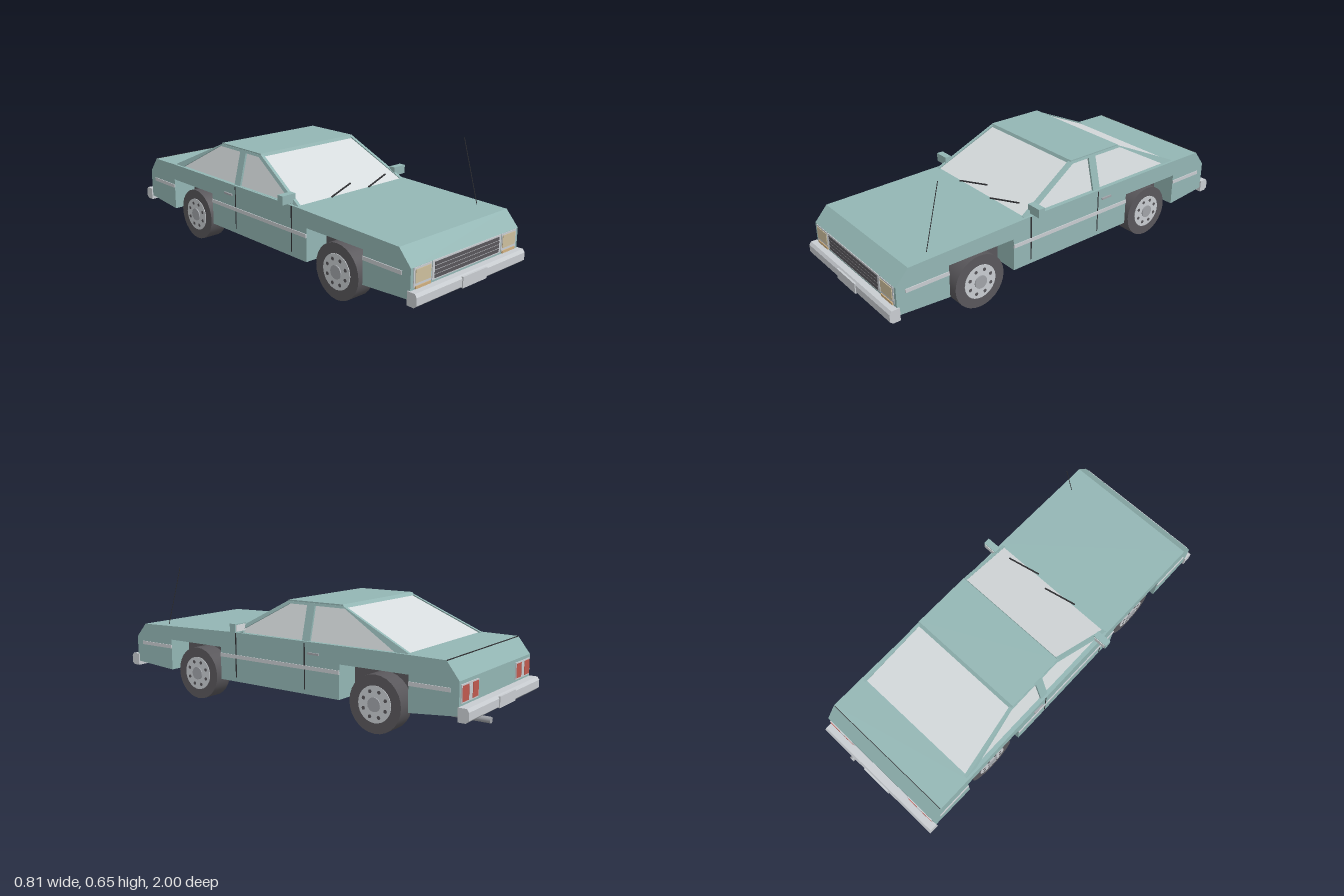
import * as THREE from 'three';

const mat = (name, color) => {
  const m = new THREE.MeshStandardMaterial({ color });
  m.name = name;
  return m;
};

export function createModel() {
  const car = new THREE.Group();
  car.name = 'car';
  const paint = mat('teal paint', 0x93b6b4);
  const glass = mat('glass', 0xd6dbdd);
  const chrome = mat('chrome', 0xc8ccd0);
  const rubber = mat('dark rubber', 0x59575b);
  const black = mat('black trim', 0x303033);
  const steel = mat('grey steel', 0xa0a3a8);
  const lamp = mat('headlamp', 0xcdbf9d);
  const amber = mat('indicator', 0xd0b080);
  const red = mat('tail red', 0xc0594f);

  const add = (name, geo, m, parent = car) => {
    const mesh = new THREE.Mesh(geo, m);
    mesh.name = name;
    parent.add(mesh);
    return mesh;
  };
  // box given by its lower and upper limits on each axis
  const box = (name, m, x0, x1, y0, y1, z0, z1, parent = car) => {
    const mesh = add(name, new THREE.BoxGeometry(Math.abs(x1 - x0), y1 - y0, Math.abs(z1 - z0)), m, parent);
    mesh.position.set((x0 + x1) / 2, (y0 + y1) / 2, (z0 + z1) / 2);
    return mesh;
  };
  // thin rod between two points
  const rod = (name, m, a, b, r, sides = 8) => {
    const p = new THREE.Vector3(...a), q = new THREE.Vector3(...b);
    const d = q.clone().sub(p);
    const mesh = add(name, new THREE.CylinderGeometry(r, r, d.length(), sides), m);
    mesh.position.copy(p).add(q).multiplyScalar(0.5);
    mesh.quaternion.setFromUnitVectors(new THREE.Vector3(0, 1, 0), d.normalize());
  };
  // side profile of [z, y] points, extruded across x and centred
  const pts = (list) => list.map(([z, y]) => new THREE.Vector2(z, y));
  const profile = (list, width, holes = []) => {
    const shape = new THREE.Shape(pts(list));
    holes.forEach((h) => shape.holes.push(new THREE.Path(pts(h))));
    const geo = new THREE.ExtrudeGeometry(shape, { depth: width, bevelEnabled: false });
    return geo.translate(0, 0, -width / 2).rotateY(-Math.PI / 2);
  };
  const warpX = (geo, rule) => {
    const p = geo.attributes.position;
    for (let i = 0; i < p.count; i++) p.setX(i, rule(p.getX(i), p.getY(i)));
    geo.computeVertexNormals();
    return geo;
  };

  // lower body with wheel arches cut right through
  add('body', profile([
    [0.954, 0.147], [0.954, 0.28], [0.89, 0.352], [0.28, 0.368], [-0.70, 0.37], [-0.88, 0.368],
    [-0.94, 0.29], [-0.94, 0.147], [-0.708, 0.125], [-0.708, 0.287], [-0.36, 0.287], [-0.36, 0.127],
    [0.348, 0.127], [0.348, 0.287], [0.695, 0.287], [0.695, 0.13],
  ], 0.714), paint);
  box('frontWheelWell', rubber, -0.235, 0.235, 0.135, 0.288, 0.348, 0.695);
  box('rearWheelWell', rubber, -0.235, 0.235, 0.135, 0.288, -0.708, -0.36);
  box('deckSeam', black, -0.355, 0.355, 0.365, 0.3695, -0.882, -0.879);

  // cabin: tapered glass block, side frames and roof
  const halfWidth = (y) => 0.343 - (y - 0.37) * 0.25;
  add('cabinGlass', warpX(profile(
    [[0.275, 0.36], [0.275, 0.368], [-0.035, 0.532], [-0.338, 0.532], [-0.69, 0.37], [-0.69, 0.36]], 2,
  ), (x, y) => x * (halfWidth(y) - 0.008)), glass);
  for (const s of [1, -1]) {
    add(s > 0 ? 'leftWindowFrame' : 'rightWindowFrame', warpX(profile(
      [[0.285, 0.36], [0.28, 0.37], [-0.03, 0.537], [-0.34, 0.537], [-0.70, 0.372], [-0.70, 0.36]], 0.016,
      [[[0.245, 0.369], [-0.045, 0.526], [-0.145, 0.526], [-0.145, 0.369]],
        [[-0.188, 0.369], [-0.188, 0.526], [-0.352, 0.526], [-0.635, 0.369]]],
    ), (x, y) => x + s * (halfWidth(y) - 0.006)), paint);
  }
  add('roof', profile([[-0.028, 0.528], [-0.035, 0.543], [-0.338, 0.543], [-0.352, 0.528]], 0.604), paint);

  // bumpers with chamfered edges and plates
  for (const [name, z, s] of [['front', 0.944, 1], ['rear', -0.938, -1]]) {
    const g = [[0, 0.125], [0.036, 0.125], [0.05, 0.137], [0.05, 0.172], [0.04, 0.186], [0, 0.186]];
    add(name + 'Bumper', profile(g.map(([d, y]) => [z + s * d, y]), 0.728), chrome);
    box(name + 'Plate', chrome, -0.081, 0.081, 0.131, 0.181, z + s * 0.046, z + s * 0.055);
  }

  // grille
  box('grilleSurround', chrome, -0.229, 0.229, 0.196, 0.28, 0.95, 0.957);
  for (let i = 0; i < 4; i++) {
    const y = 0.202 + i * 0.0183;
    box('grilleSlot', rubber, -0.215, 0.215, y, y + 0.015, 0.953, 0.959);
  }

  for (const s of [1, -1]) {
    // headlamps and tail lamps
    box('headlampSurround', chrome, s * 0.235, s * 0.341, 0.196, 0.279, 0.95, 0.957);
    box('headlamp', lamp, s * 0.241, s * 0.332, 0.213, 0.271, 0.953, 0.96);
    box('indicator', amber, s * 0.241, s * 0.332, 0.189, 0.201, 0.954, 0.961);
    box('tailLampSurround', chrome, s * 0.19, s * 0.345, 0.197, 0.275, -0.945, -0.938);
    box('tailLampInner', red, s * 0.196, s * 0.247, 0.203, 0.269, -0.947, -0.94);
    box('tailLampOuter', red, s * 0.283, s * 0.339, 0.203, 0.269, -0.947, -0.94);
    box('reversingLamp', chrome, s * 0.252, s * 0.278, 0.212, 0.26, -0.947, -0.94);

    // side strips, door seams and handle
    for (const [a, b] of [[0.695, 0.91], [-0.36, 0.348], [-0.90, -0.708]]) {
      box('sideStrip', chrome, s * 0.355, s * 0.361, 0.241, 0.259, a, b);
    }
    box('doorFrontSeam', black, s * 0.355, s * 0.3585, 0.148, 0.366, 0.245, 0.251);
    box('doorRearSeam', black, s * 0.355, s * 0.3585, 0.148, 0.362, -0.17, -0.165);
    box('doorHandle', steel, s * 0.355, s * 0.365, 0.313, 0.322, -0.25, -0.19);

    // mirrors
    box('mirrorStalk', paint, s * 0.325, s * 0.346, 0.36, 0.39, 0.212, 0.232);
    box('mirror', paint, s * 0.327, s * 0.404, 0.376, 0.418, 0.208, 0.242);
    box('mirrorGlass', glass, s * 0.334, s * 0.398, 0.381, 0.413, 0.205, 0.209);

    // wheels
    for (const z of [0.525, -0.534]) {
      const wheel = new THREE.Group();
      wheel.name = 'wheel';
      wheel.position.set(s * 0.294, 0.131, z);
      car.add(wheel);
      const disc = (name, m, r, x0, x1, sides, y = 0, dz = 0) => {
        const geo = new THREE.CylinderGeometry(r, r, x1 - x0, sides).rotateZ(Math.PI / 2);
        add(name, geo, m, wheel).position.set(s * (x0 + x1) / 2, y, dz);
      };
      disc('tyre', rubber, 0.131, -0.046, 0.046, 28);
      disc('rim', chrome, 0.083, 0.04, 0.049, 28);
      disc('hubCap', steel, 0.032, 0.045, 0.055, 16);
      for (let i = 0; i < 8; i++) {
        const a = (i + 0.5) * Math.PI / 4;
        disc('rimHole', rubber, 0.009, 0.045, 0.0505, 6, 0.06 * Math.sin(a), 0.06 * Math.cos(a));
      }
    }
  }

  // wipers, aerial and exhaust
  for (const x of [-0.143, 0.1]) rod('wiper', black, [x, 0.372, 0.284], [x + 0.162, 0.396, 0.24], 0.004, 6);
  rod('aerial', black, [0.303, 0.355, 0.767], [0.291, 0.652, 0.687], 0.0018, 6);
  rod('exhaustPipe', steel, [0.18, 0.103, -0.82], [0.18, 0.103, -1.0], 0.014, 14);
  return car;
}
